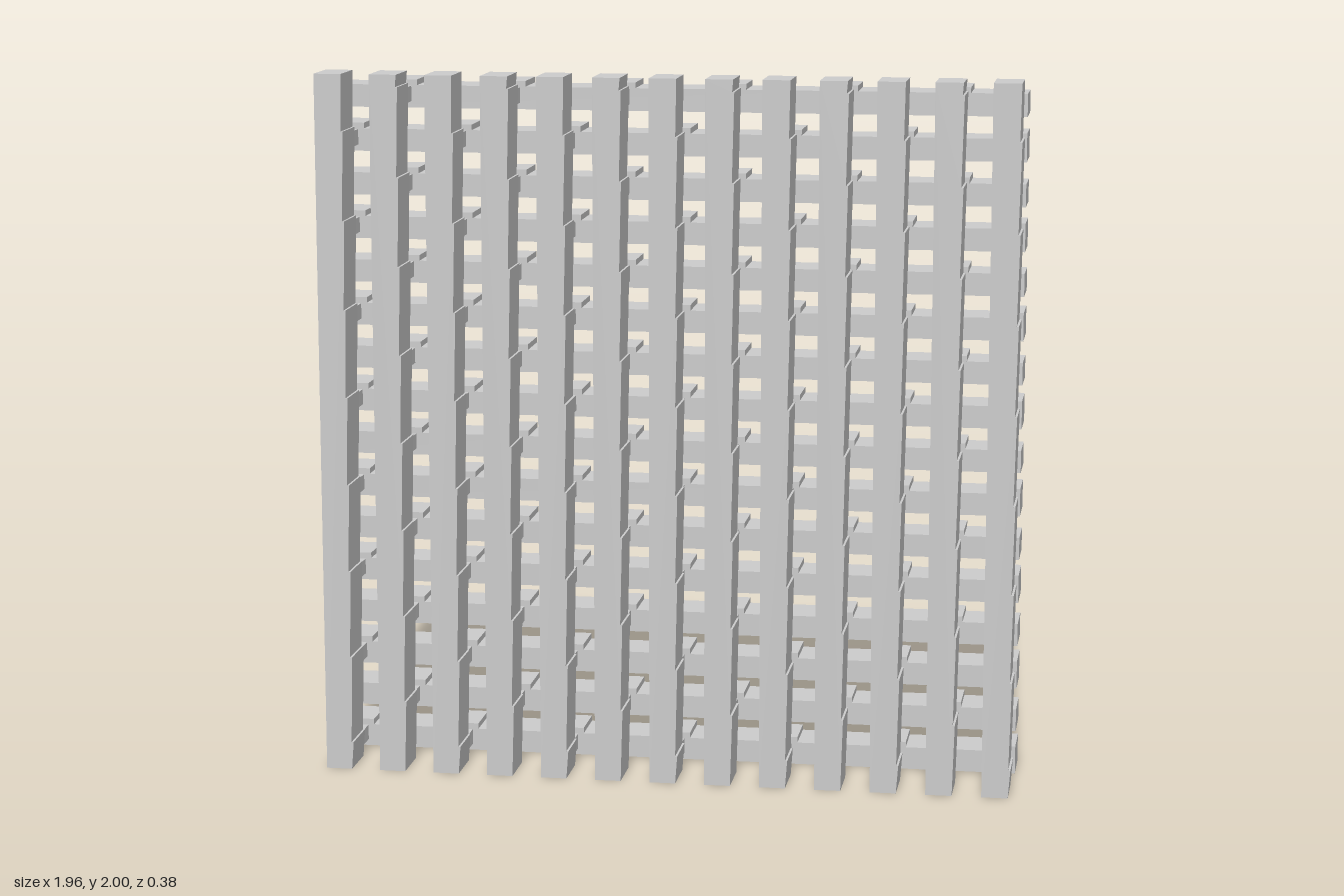
import * as THREE from 'three';

const ROWS = 16, COLS = 13;
const ROW_PITCH = 0.1257, COL_PITCH = 0.157;
const HALF = 0.982;        // half of the panel width
const BAR = 0.08;          // full bar thickness at a crossing
const DEPTH = 0.136, BACK = -0.191, FRONT = 0.055;

const rowY = i => i * ROW_PITCH;                // underside of a row
const colX = j => -HALF + j * COL_PITCH;        // left edge of a column
const joined = (i, j) => (i + j) % 2 === 0;     // checkerboard of linked crossings

export function createModel() {
  const model = new THREE.Group();
  const material = new THREE.MeshStandardMaterial({ color: 0xcccccc, flatShading: true });

  // Extrude an outline in x, y towards +z
  function addBar(name, points, z) {
    const shape = new THREE.Shape(points.map(([x, y]) => new THREE.Vector2(x, y)));
    const geometry = new THREE.ExtrudeGeometry(shape, { depth: DEPTH, bevelEnabled: false });
    const mesh = new THREE.Mesh(geometry, material);
    mesh.name = name;
    mesh.position.z = z;
    model.add(mesh);
  }

  // Horizontal back slats, with a raised block at every linked crossing
  for (let i = 0; i < ROWS; i++) {
    const y = rowY(i), low = y + 0.064, high = y + BAR;
    const points = [[-HALF, y], [HALF, y]];
    if (!joined(i, COLS - 1)) points.push([HALF, low]);
    for (let j = COLS - 1; j >= 0; j--) {
      if (!joined(i, j)) continue;
      const x0 = colX(j), x1 = x0 + BAR;
      if (j < COLS - 1) points.push([x1, low]);
      points.push([x1, high], [x0, high]);
      if (j > 0) points.push([x0, low]);
    }
    if (!joined(i, 0)) points.push([-HALF, low]);
    addBar('backSlat', points, BACK);
  }

  // Vertical front slats, their +x side slightly stepped at linked crossings
  for (let j = 0; j < COLS; j++) {
    const x = colX(j), narrow = x + 0.074, wide = x + BAR;
    const points = [[x, 0], [narrow, 0]];
    for (let i = 0; i < ROWS; i++) {
      if (!joined(i, j)) continue;
      const top = rowY(i) + BAR;
      points.push([wide, top], [narrow, top]);
    }
    points.push([narrow + 0.003, 2], [x, 2]);
    addBar('frontSlat', points, FRONT);
  }

  // Square pegs linking the two layers
  const pegGeometry = new THREE.BoxGeometry(0.046, 0.044, 0.114);
  for (let i = 0; i < ROWS; i++) {
    for (let j = 0; j < COLS; j++) {
      if (!joined(i, j)) continue;
      const peg = new THREE.Mesh(pegGeometry, material);
      peg.name = 'peg';
      peg.position.set(colX(j) + BAR / 2, rowY(i) + BAR / 2, 0);
      model.add(peg);
    }
  }
  return model;
}
